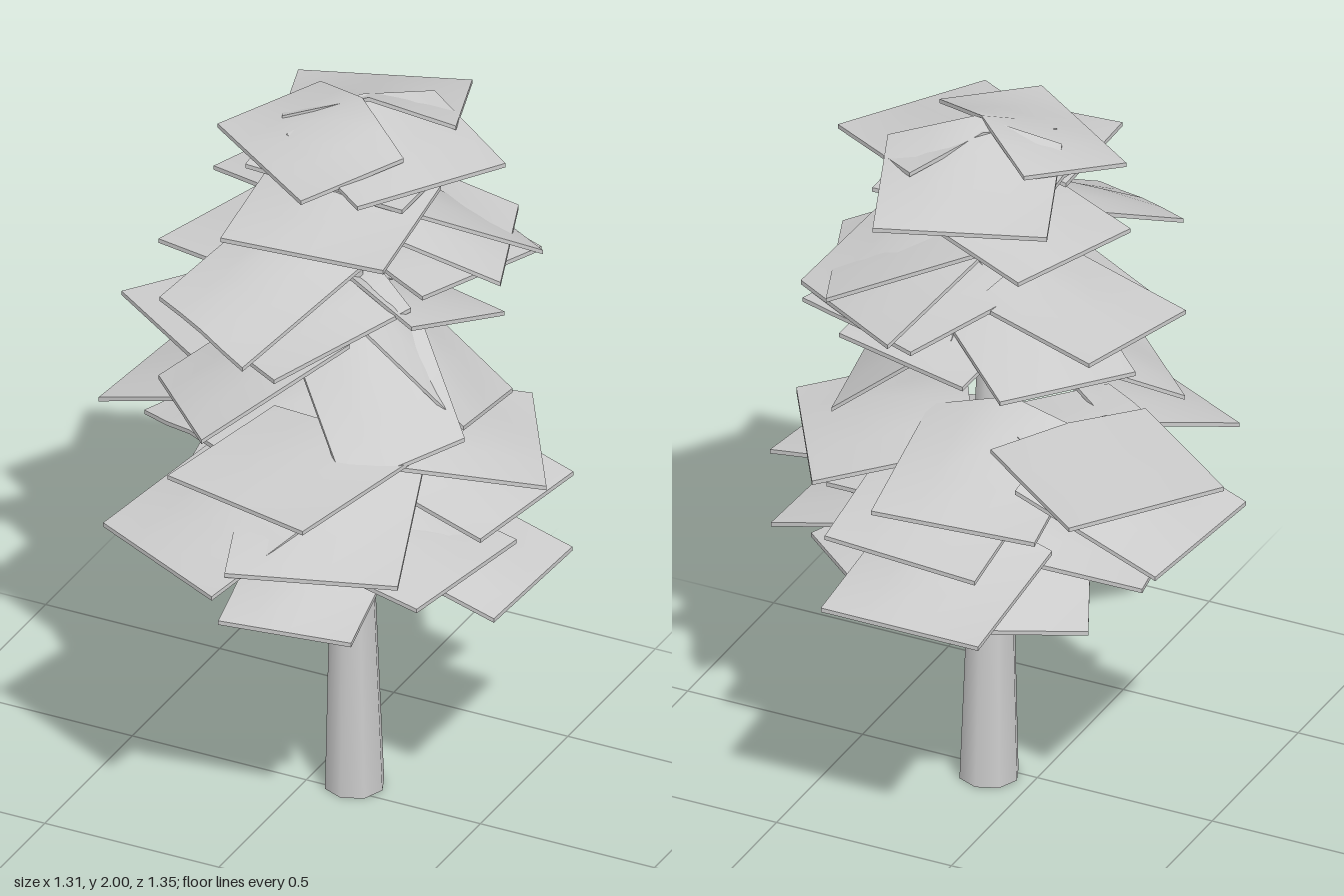
import * as THREE from 'three';

const material = new THREE.MeshStandardMaterial({ color: 0xcccccc, side: THREE.DoubleSide });
const rad = THREE.MathUtils.degToRad;

// Each leaf card: centre x, centre z, downhill heading, twist, width, depth, high y, low y, roll.
// Heading 0 is front, 90 is the model's left (+x).
const crown = [
  [0.02, 0.015, -35, 0, 0.45, 0.30, 1.99, 1.88],
  [0.23, -0.055, 57, 0, 0.44, 0.36, 1.97, 1.88],
  [0.06, -0.285, -160, 0, 0.45, 0.36, 1.99, 1.85],
  [0.10, -0.10, 90, 0, 0.40, 0.45, 1.87, 1.82],
];
const upperTier = [
  [0.14, 0.14, 5, 0, 0.45, 0.40, 1.86, 1.77],
  [0.00, 0.23, -8, -18, 0.35, 0.42, 1.79, 1.49],
  [0.25, -0.20, 110, 0, 0.40, 0.42, 1.80, 1.56],
  [0.23, -0.26, 150, 0, 0.40, 0.42, 1.84, 1.52],
  [-0.03, -0.16, -110, 0, 0.40, 0.40, 1.83, 1.72],
];
const middleTier = [
  [-0.18, -0.12, -106, 0, 0.37, 0.40, 1.56, 1.49],
  [0.02, 0.09, -30, 0, 0.42, 0.42, 1.55, 1.40],
  [0.18, -0.16, 165, 0, 0.42, 0.36, 1.53, 1.35],
  [0.22, -0.26, 140, 20, 0.40, 0.42, 1.56, 1.50],
  [0.30, -0.10, 95, 0, 0.34, 0.33, 1.50, 1.16, -0.035],
  [0.26, 0.10, 48, 0, 0.33, 0.36, 1.44, 1.15, 0.04],
  [-0.10, 0.10, -45, 0, 0.35, 0.40, 1.44, 1.16],
  [-0.08, -0.16, -130, 0, 0.38, 0.38, 1.50, 1.36],
];
const broadTier = [
  [-0.345, -0.295, -126, 0, 0.45, 0.43, 1.18, 1.15],
  [-0.37, -0.21, -95, 0, 0.45, 0.42, 1.17, 0.97],
  [-0.05, 0.375, -27, 0, 0.47, 0.42, 1.12, 0.90],
  [0.13, 0.36, -13, 0, 0.45, 0.43, 1.17, 1.13],
  [0.22, 0.34, 18, 0, 0.45, 0.42, 1.11, 0.94],
  [0.36, -0.15, 121, 0, 0.48, 0.42, 1.16, 1.01],
  [0.40, -0.08, 82, 0, 0.42, 0.42, 1.10, 0.94],
  [0.12, -0.31, 175, 0, 0.45, 0.42, 1.11, 0.88],
  [0.00, -0.32, -175, 0, 0.45, 0.42, 1.18, 1.02],
  [-0.155, -0.03, -75, 45, 0.42, 0.42, 1.17, 1.00],
];
const lowerTier = [
  [0.06, -0.465, 180, 0, 0.45, 0.43, 0.91, 0.78],
  [-0.17, -0.06, -80, 0, 0.42, 0.42, 0.89, 0.78],
  [0.01, 0.02, -60, 0, 0.38, 0.36, 0.88, 0.68],
  [0.42, -0.05, 88, 0, 0.42, 0.42, 0.90, 0.72],
  [0.13, 0.24, 8, 0, 0.36, 0.40, 0.85, 0.70],
  [-0.03, -0.23, -155, 0, 0.42, 0.42, 0.87, 0.68],
  [0.305, 0.07, 81, 0, 0.44, 0.42, 0.90, 0.79],
  [0.24, -0.23, 140, 0, 0.40, 0.40, 0.89, 0.72],
];

// Thin card whose inner edge peaks in the middle and falls to a straight outer edge
function leafCard([cx, cz, heading, twist, w, d, high, low, roll = 0]) {
  const geometry = new THREE.BoxGeometry(w, 0.012, d, 4, 1, 3);
  const turn = rad(twist);
  const reach = (Math.abs(Math.sin(turn)) * w + Math.cos(turn) * d) / 2;
  const droop = Math.min(0.6 * (high - low), 0.07);
  const p = geometry.attributes.position;
  const across = Array.from({ length: p.count }, (_, i) => p.getX(i) * 2 / w);
  geometry.rotateY(turn);
  for (let i = 0; i < p.count; i++) {
    const rise = (1 - p.getZ(i) / reach) / 2;
    const slope = rise * (high - low - droop * Math.abs(across[i]));
    p.setY(i, p.getY(i) + low + slope + roll * across[i]);
  }
  geometry.rotateY(rad(heading));
  geometry.translate(cx, 0, cz);
  geometry.computeVertexNormals();
  const mesh = new THREE.Mesh(geometry, material);
  mesh.name = 'leafCard';
  return mesh;
}

// Tapered open tube between two points
function bar(name, from, to, r0, r1, sides) {
  const a = new THREE.Vector3(...from), b = new THREE.Vector3(...to);
  const axis = b.clone().sub(a);
  const mesh = new THREE.Mesh(new THREE.CylinderGeometry(r1, r0, axis.length(), sides, 1, true), material);
  mesh.quaternion.setFromUnitVectors(new THREE.Vector3(0, 1, 0), axis.normalize());
  mesh.position.addVectors(a, b).multiplyScalar(0.5);
  mesh.name = name;
  return mesh;
}

export function createModel() {
  const tree = new THREE.Group();
  tree.name = 'tree';

  // Trunk in two tapering lengths
  tree.add(bar('lowerTrunk', [0.12, 0, -0.037], [0.117, 0.9, -0.025], 0.08, 0.052, 8));
  tree.add(bar('upperTrunk', [0.117, 0.9, -0.025], [0.12, 1.78, -0.03], 0.052, 0.02, 8));

  // A few slim twigs under the foliage
  for (const [x, y, z] of [[-0.05, 0.82, -0.16], [0.28, 0.85, -0.12], [0.0, 1.06, 0.1]]) {
    tree.add(bar('twig', [0.118, y - 0.05, -0.028], [x, y, z], 0.012, 0.006, 5));
  }

  // Foliage tiers from top to bottom
  const tiers = { crown, upperTier, middleTier, broadTier, lowerTier };
  for (const [name, cards] of Object.entries(tiers)) {
    const tier = new THREE.Group();
    tier.name = name;
    tier.add(...cards.map(leafCard));
    tree.add(tier);
  }
  return tree;
}
